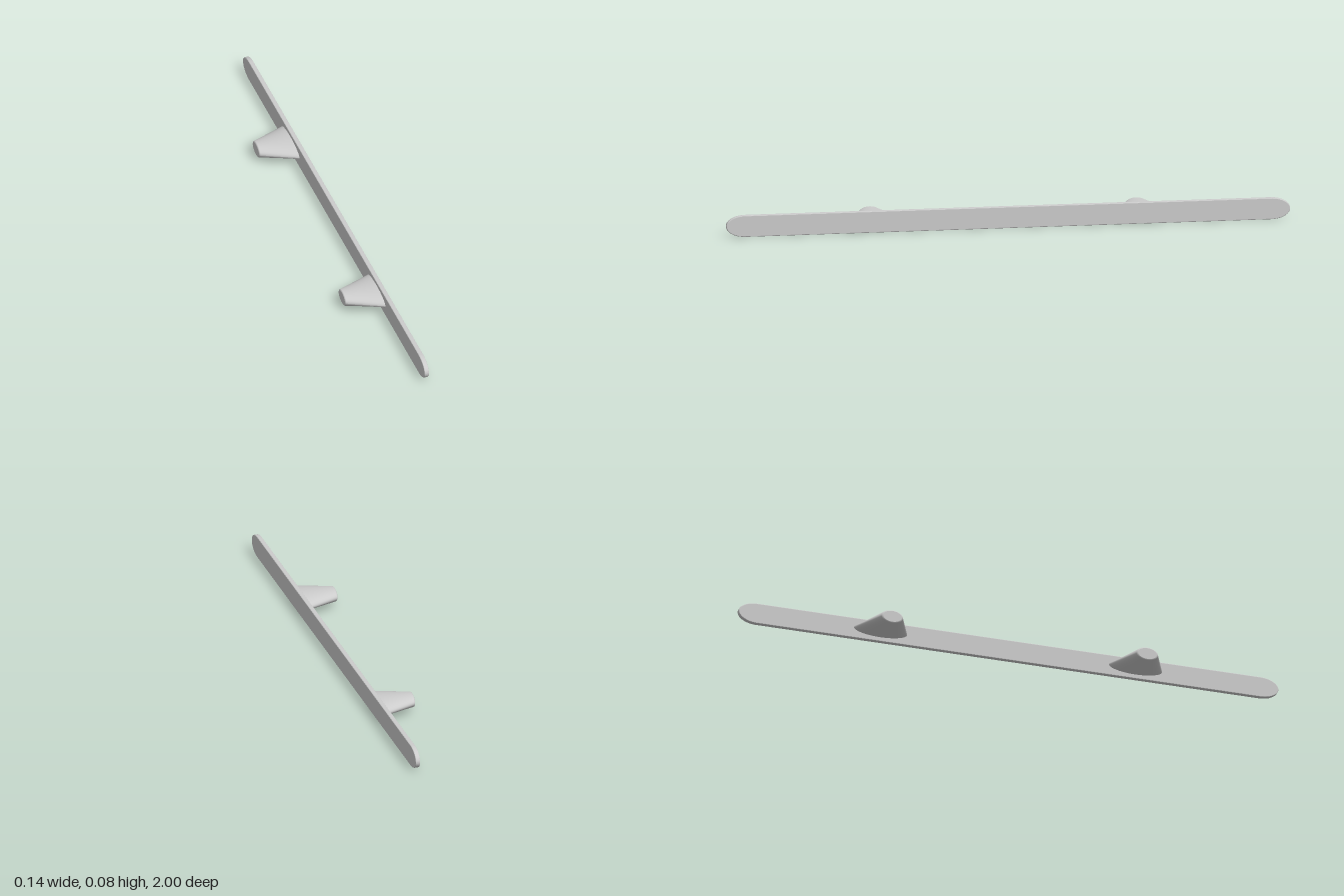
import * as THREE from 'three';

const material = new THREE.MeshStandardMaterial({ color: 0xcccccc });
const MID_Y = 0.0385;

// Flat bar with elliptical ends and slightly softened edges
function makeBar() {
  const bevel = 0.003, h = 0.0385 - bevel, len = 1 - bevel, cap = 0.065;
  const s = new THREE.Shape();
  s.moveTo(-len + cap, -h);
  s.lineTo(len - cap, -h);
  s.absellipse(len - cap, 0, cap, h, -Math.PI / 2, Math.PI / 2, false);
  s.lineTo(-len + cap, h);
  s.absellipse(-len + cap, 0, cap, h, Math.PI / 2, Math.PI * 1.5, false);
  const g = new THREE.ExtrudeGeometry(s, {
    depth: 0.017 - 2 * bevel, bevelEnabled: true, bevelSize: bevel,
    bevelThickness: bevel, bevelSegments: 3, curveSegments: 24,
  });
  g.rotateY(Math.PI / 2);
  g.translate(0.055 + bevel, MID_Y, 0);
  const bar = new THREE.Mesh(g, material);
  bar.name = 'bar';
  return bar;
}

// Oval post: constant height, narrowing along its length, with a rounded tip
function makePost(z, name) {
  const rings = [ // x, half width in z, half height
    [0.056, 0.099, 0.0245],
    [-0.069, 0.04, 0.0245],
    [-0.0718, 0.0375, 0.0233],
    [-0.073, 0.0345, 0.0205],
  ];
  const g = new THREE.CylinderGeometry(1, 1, 1, 48, rings.length - 1);
  const p = g.attributes.position;
  for (let i = 0; i < p.count; i++) {
    const [x, w, h] = rings[Math.round((p.getY(i) + 0.5) * (rings.length - 1))];
    p.setXYZ(i, x, p.getX(i) * h, p.getZ(i) * w);
  }
  g.computeVertexNormals();
  const post = new THREE.Mesh(g, material);
  post.position.set(0, 0.04, z);
  post.name = name;
  return post;
}

export function createModel() {
  const handle = new THREE.Group();
  handle.name = 'barHandle';
  handle.add(makeBar(), makePost(0.47, 'frontPost'), makePost(-0.475, 'backPost'));
  return handle;
}
